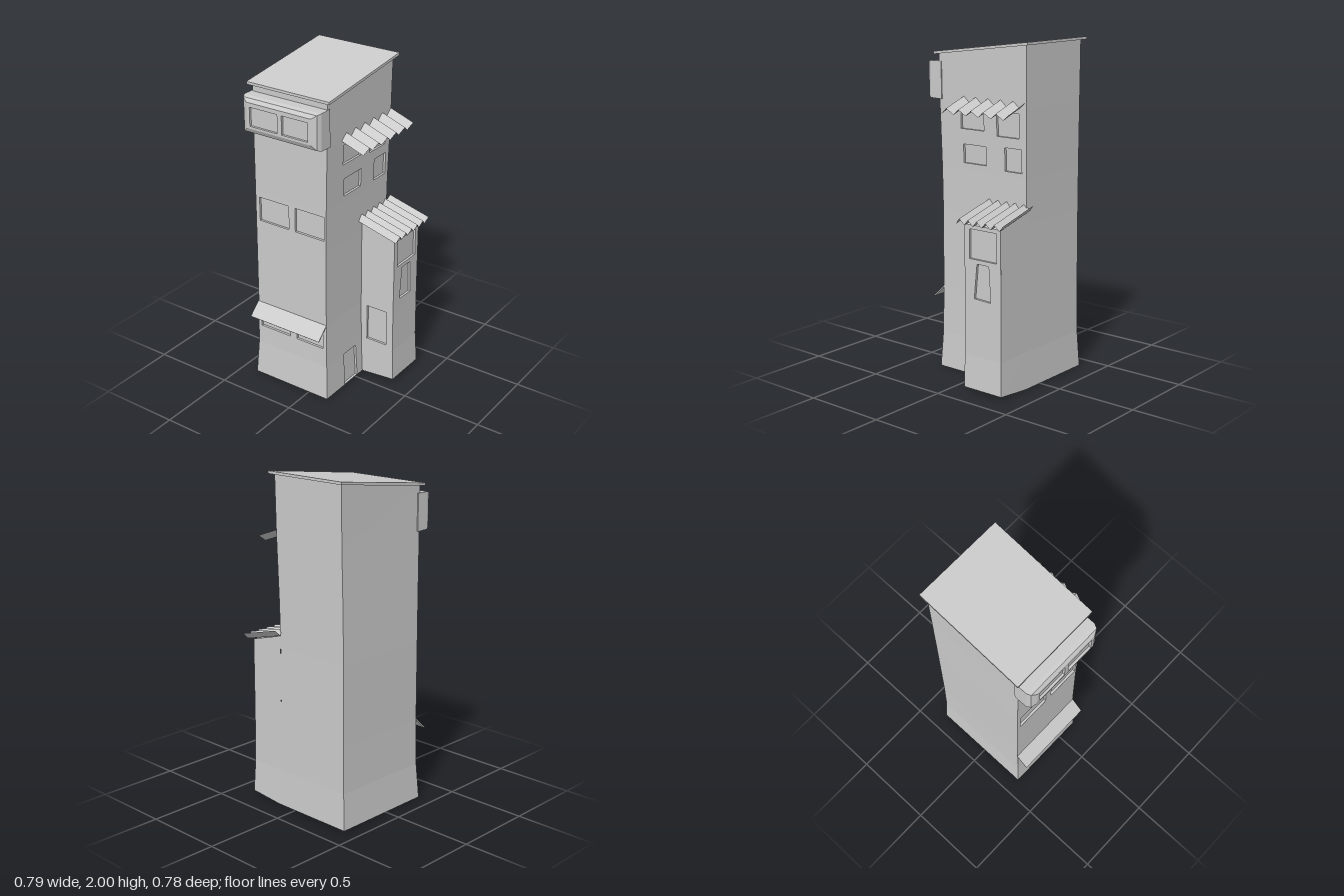
import * as THREE from 'three';

const solid = new THREE.MeshStandardMaterial({ color: 0xcccccc, flatShading: true });
const thin = new THREE.MeshStandardMaterial({ color: 0xcccccc, flatShading: true, side: THREE.DoubleSide });
const lerp = THREE.MathUtils.lerp;

const addQuad = (out, a, b, c, d) => out.push(...a, ...b, ...c, ...a, ...c, ...d);
const rect = (u0, u1, y0, y1) => [[u0, y0], [u1, y0], [u1, y1], [u0, y1]];

function makeMesh(name, positions, angle = 0) {
  const geo = new THREE.BufferGeometry();
  geo.setAttribute('position', new THREE.Float32BufferAttribute(positions, 3));
  geo.rotateY(angle);
  geo.computeVertexNormals();
  const mesh = new THREE.Mesh(geo, solid);
  mesh.name = name;
  return mesh;
}

// Flat panel facing +z with recessed openings; depthAt(y) gives its lean
function addPanel(out, outline, depthAt, openings, recess = 0.014) {
  const toVec = (pts) => pts.map((p) => new THREE.Vector2(p[0], p[1]));
  const shape = new THREE.Shape(toVec(outline));
  shape.holes = openings.map((o) => new THREE.Path(toVec(o)));
  const geo = new THREE.ShapeGeometry(shape).toNonIndexed();
  const pos = geo.attributes.position;
  for (let i = 0; i < pos.count; i++) {
    out.push(pos.getX(i), pos.getY(i), depthAt(pos.getY(i)));
  }
  for (const o of openings) {
    const front = o.map(([u, y]) => [u, y, depthAt(y)]);
    const back = front.map(([u, y, d]) => [u, y, d - recess]);
    for (let i = 0; i < 4; i++) {
      const j = (i + 1) % 4;
      addQuad(out, front[i], front[j], back[j], back[i]);
    }
    addQuad(out, ...back);
  }
}

// Corners of a level [y, x0, x1, z0, z1, slopeX, slopeZ], from front left, counter-clockwise from above
function corners([y, x0, x1, z0, z1, sx = 0, sz = 0]) {
  return [[x0, z1], [x1, z1], [x1, z0], [x0, z0]].map(([x, z]) => [x, y + sx * x + sz * z, z]);
}

// Storeys stacked from levels; side 0 front, 1 right, 2 back, 3 left
function makeBlock(name, levels, sides, openings) {
  const group = new THREE.Group();
  group.name = name;
  for (const side of sides) {
    const out = [];
    const angle = side * Math.PI / 2;
    const local = (p) => new THREE.Vector3(...p).applyAxisAngle(new THREE.Vector3(0, 1, 0), -angle);
    for (let k = 0; k + 1 < levels.length; k++) {
      const lo = corners(levels[k]);
      const hi = corners(levels[k + 1]);
      const next = (side + 1) % 4;
      const [a, b, c, d] = [lo[side], lo[next], hi[next], hi[side]].map(local);
      const yLow = (a.y + b.y) / 2;
      const yHigh = (c.y + d.y) / 2;
      const depthAt = (y) => lerp(a.z, d.z, THREE.MathUtils.clamp((y - yLow) / (yHigh - yLow), 0, 1));
      const here = (openings[side] || []).filter((o) => o[0][1] > yLow && o[0][1] < yHigh);
      addPanel(out, [a, b, c, d].map((p) => [p.x, p.y]), depthAt, here);
    }
    group.add(makeMesh(['frontWall', 'rightWall', 'backWall', 'leftWall'][side], out, angle));
  }
  const caps = [];
  addQuad(caps, ...corners(levels[0]).reverse());
  addQuad(caps, ...corners(levels[levels.length - 1]));
  group.add(makeMesh('floorAndCeiling', caps));
  return group;
}

// Zigzag sheet running from [x, y] start to end, spread along z
function makeCorrugatedAwning(name, start, end, zFront, zBack, height) {
  const folds = 11;
  const geo = new THREE.PlaneGeometry(1, 1, 1, folds);
  const pos = geo.attributes.position;
  const dir = new THREE.Vector2(end[0] - start[0], end[1] - start[1]).normalize();
  for (let i = 0; i < pos.count; i++) {
    const row = Math.floor(i / 2);
    const t = i % 2;
    const lift = (row % 2 ? 0.5 : -0.5) * height;
    pos.setXYZ(i, lerp(start[0], end[0], t) - dir.y * lift,
      lerp(start[1], end[1], t) + dir.x * lift, lerp(zFront, zBack, row / folds));
  }
  // Reverse the winding so the upper side is the front
  geo.setIndex(Array.from(geo.index.array).reverse());
  geo.computeVertexNormals();
  const mesh = new THREE.Mesh(geo, thin);
  mesh.name = name;
  return mesh;
}

export function createModel() {
  const model = new THREE.Group();
  model.name = 'towerHouse';

  // Main tower, flared at the foot, with a sloping top
  model.add(makeBlock('tower', [
    [0, -0.4, 0.135, -0.355, 0.3],
    [0.22, -0.386, 0.125, -0.345, 0.287],
    [0.5, -0.381, 0.121, -0.343, 0.284],
    [0.98, -0.379, 0.12, -0.341, 0.283],
    [1.24, -0.377, 0.124, -0.342, 0.284],
    [1.63, -0.372, 0.135, -0.347, 0.289],
    [1.938, -0.37, 0.14, -0.35, 0.29, 0, -0.124],
  ], [0, 1, 2, 3], {
    0: [
      rect(-0.36, -0.145, 0.34, 0.48), rect(-0.095, 0.098, 0.34, 0.48),
      rect(-0.35, -0.14, 1.06, 1.21), rect(-0.095, 0.107, 1.06, 1.21),
    ],
    1: [
      [[-0.112, 0.004], [0.022, 0.004], [0.018, 0.216], [-0.108, 0.216]],
      rect(-0.115, 0.055, 1.28, 1.39), rect(0.19, 0.31, 1.265, 1.4),
      rect(-0.13, 0.04, 1.48, 1.6), rect(0.135, 0.295, 1.46, 1.6),
    ],
  }));

  // Lower side wing against the tower
  model.add(makeBlock('sideWing', [
    [-0.012, 0.135, 0.36, -0.355, -0.08, 0.089],
    [0.22, 0.125, 0.352, -0.345, -0.08],
    [0.5, 0.121, 0.35, -0.343, -0.08],
    [1.084, 0.12, 0.35, -0.341, -0.08, -0.28],
  ], [0, 1, 2], {
    0: [rect(0.165, 0.305, 0.25, 0.48)],
    1: [
      [[0.15, 0.56], [0.27, 0.555], [0.255, 0.765], [0.17, 0.765]],
      rect(0.115, 0.31, 0.79, 0.962),
    ],
  }));

  // Roof slab, sheared to the slope
  const roofGeo = new THREE.BoxGeometry(0.56, 0.016, 0.685);
  roofGeo.translate(-0.115, 1.946, -0.0325);
  const rp = roofGeo.attributes.position;
  for (let i = 0; i < rp.count; i++) rp.setY(i, rp.getY(i) - 0.124 * rp.getZ(i));
  const roof = new THREE.Mesh(roofGeo, solid);
  roof.name = 'roof';
  model.add(roof);

  // Bay window with chamfered rim
  const bay = [];
  const ring = (x0, x1, y0, y1, z) => rect(x0, x1, y0, y1).map(([x, y]) => [x, y, z]);
  const rings = [
    ring(-0.378, 0.143, 1.64, 1.86, 0.27),
    ring(-0.378, 0.143, 1.642, 1.86, 0.35),
    ring(-0.366, 0.131, 1.652, 1.853, 0.375),
    ring(-0.335, 0.1, 1.68, 1.832, 0.39),
  ];
  for (let k = 0; k < 3; k++) {
    for (let i = 0; i < 4; i++) {
      const j = (i + 1) % 4;
      addQuad(bay, rings[k][i], rings[k][j], rings[k + 1][j], rings[k + 1][i]);
    }
  }
  addQuad(bay, ...rings[0].slice().reverse());
  addPanel(bay, rings[3], () => 0.39, [rect(-0.315, -0.125, 1.694, 1.806), rect(-0.095, 0.08, 1.694, 1.806)]);
  model.add(makeMesh('bayWindow', bay));

  // Sloping front awning
  const awning = new THREE.Mesh(new THREE.BoxGeometry(0.505, 0.006, 0.108), solid);
  awning.name = 'frontAwning';
  awning.position.set(-0.132, 0.468, 0.32);
  awning.rotation.x = 0.76;
  model.add(awning);

  // Corrugated awnings on the right side
  model.add(makeCorrugatedAwning('upperAwning', [0.122, 1.655], [0.284, 1.597], 0.15, -0.345, 0.036));
  model.add(makeCorrugatedAwning('wingRoof', [0.112, 1.075], [0.386, 1.003], -0.043, -0.388, 0.036));

  return model;
}
